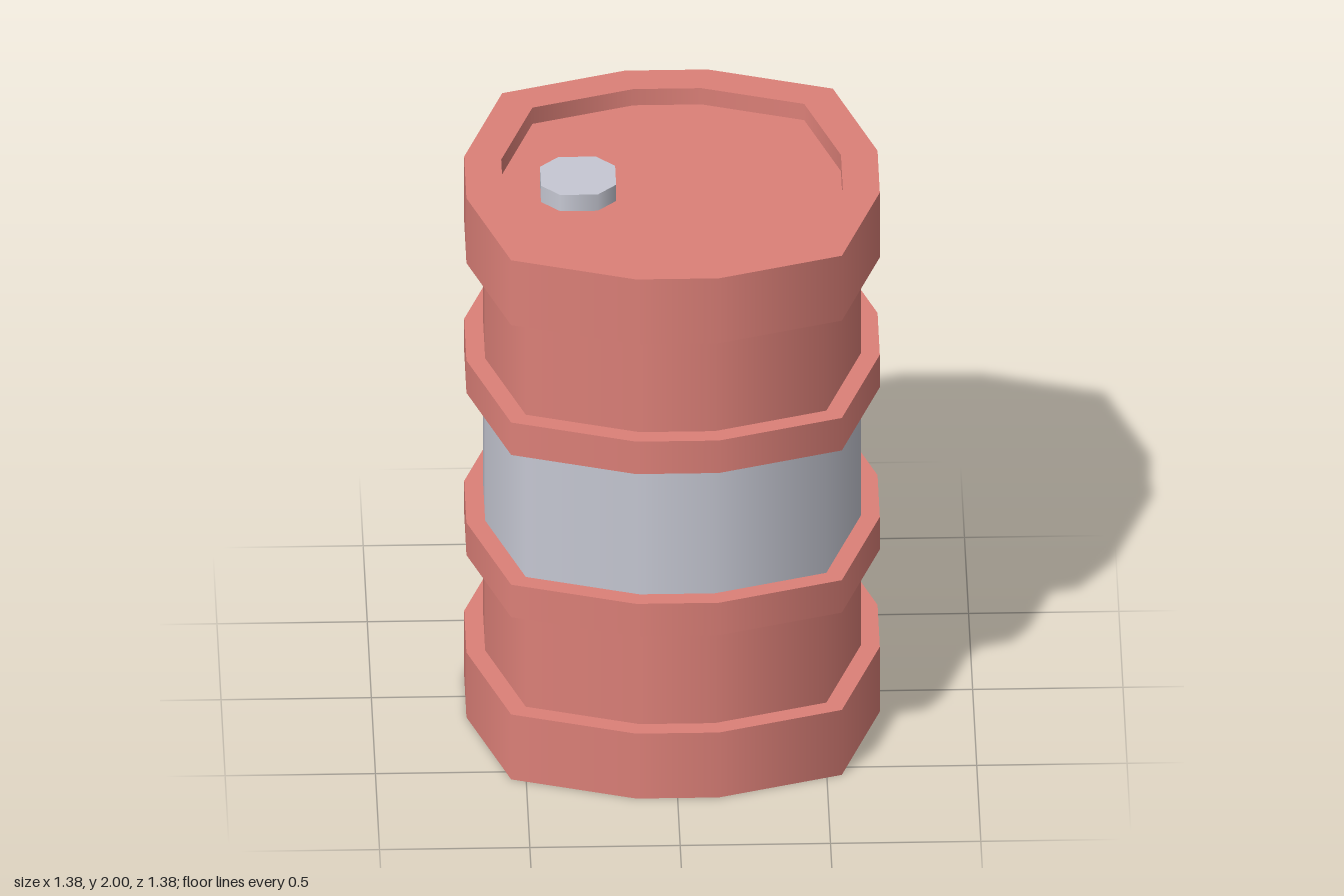
import * as THREE from 'three';

const red = new THREE.MeshStandardMaterial({ color: 0xdc8078 });
const grey = new THREE.MeshStandardMaterial({ color: 0xc6c8d3 });

// Repeats the corners of one quarter four times around the y axis (unit outline)
function outline(quarter) {
  const pts = [];
  for (let q = 0; q < 4; q++) {
    for (const [x, z] of quarter) {
      pts.push([[x, z], [-z, x], [-x, -z], [z, -x]][q]);
    }
  }
  return pts;
}

const drumOutline = outline([[1, 0.2], [0.8, 0.8], [0.2, 1]]);
const octagon = outline([[1, 0.5], [0.5, 1]]);

// Sweeps a profile of [radius, y] around an outline: smooth round the sides, sharp between steps
function sweep(name, ring, profile, material) {
  const pos = [], nor = [], idx = [], n = ring.length;
  for (let s = 0; s < profile.length - 1; s++) {
    const [r0, y0] = profile[s], [r1, y1] = profile[s + 1];
    const len = Math.hypot(r1 - r0, y1 - y0);
    const out = (y1 - y0) / len, up = (r0 - r1) / len;
    const base = pos.length / 3;
    ring.forEach(([x, z], i) => {
      const h = Math.hypot(x, z), j = (i + 1) % n;
      pos.push(x * r0, y0, z * r0, x * r1, y1, z * r1);
      for (let k = 0; k < 2; k++) nor.push(out * x / h, up, out * z / h);
      const a = base + 2 * i, b = base + 2 * j;
      if (r1 > 0) idx.push(a, a + 1, b + 1);
      if (r0 > 0) idx.push(a, b + 1, b);
    });
  }
  const geo = new THREE.BufferGeometry();
  geo.setAttribute('position', new THREE.Float32BufferAttribute(pos, 3));
  geo.setAttribute('normal', new THREE.Float32BufferAttribute(nor, 3));
  geo.setIndex(idx);
  const mesh = new THREE.Mesh(geo, material);
  mesh.name = name;
  return mesh;
}

export function createModel() {
  const group = new THREE.Group();
  group.name = 'drum';
  const rim = 0.6875, wall = 0.625, inner = 0.565, lidY = 1.9375;

  // Bottom, foot rim, lower wall and lower hoop
  group.add(sweep('lowerBody', drumOutline, [
    [0, 0], [rim, 0], [rim, 0.25], [wall, 0.25],
    [wall, 0.625], [rim, 0.625], [rim, 0.75], [wall, 0.75],
  ], red));

  // Plain band round the middle
  group.add(sweep('middleBand', drumOutline, [[wall, 0.75], [wall, 1.25]], grey));

  // Upper hoop, upper wall, top rim and recessed lid
  group.add(sweep('upperBody', drumOutline, [
    [wall, 1.25], [rim, 1.25], [rim, 1.375], [wall, 1.375],
    [wall, 1.75], [rim, 1.75], [rim, 2], [inner, 2], [inner, lidY], [0, lidY],
  ], red));

  // Bung cap on the lid
  const cap = sweep('bungCap', octagon, [[0.125, 0], [0.125, 0.0625], [0, 0.0625]], grey);
  cap.position.set(-0.3125, lidY, 0);
  group.add(cap);

  return group;
}
